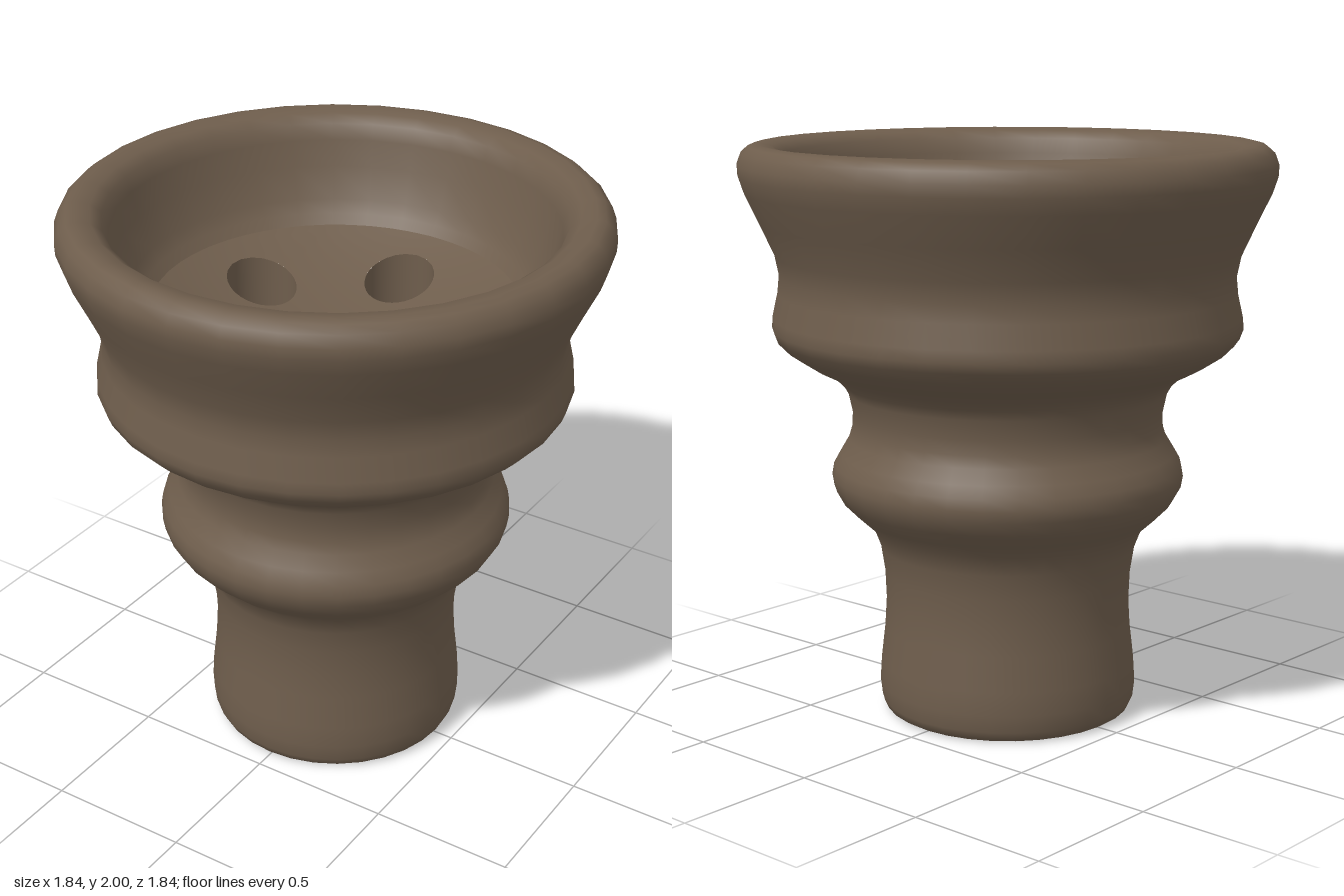
import * as THREE from 'three';
import { mergeVertices } from 'three/addons/utils/BufferGeometryUtils.js';

const HOLES = 5, HOLE_RING = 0.41, HOLE_R = 0.122, CEILING = 1.2;
const STEP = (Math.PI * 2) / HOLES;
const floorY = (x, z) => 1.48 + 0.4 * (x * x + z * z); // dished bowl floor

const lathe = (pts, sides = 32) =>
  new THREE.LatheGeometry(pts.map(([r, y]) => new THREE.Vector2(r, y)), sides);

// Closed outline of one sector around its hole, as [radius, angle] pairs
function sectorOutline(outer) {
  const out = [], half = STEP / 2, n = 10;
  const side = (r0, r1, a0, a1) => {
    for (let i = 0; i < n; i++) {
      const t = i / n;
      out.push([r0 + (r1 - r0) * t, a0 + (a1 - a0) * t]);
    }
  };
  side(outer, outer, -half, half);
  side(outer, HOLE_R, half, half);
  side(HOLE_R, HOLE_R, half, -half);
  side(HOLE_R, outer, -half, -half);
  return out;
}

// Disc with a central hole and a ring of holes; its height follows a rule
function piercedDisc(outer, height, faceUp) {
  const pos = [], index = [], outline = sectorOutline(outer);
  const n = outline.length, rings = 5;
  for (let k = 0; k < HOLES; k++) {
    const base = pos.length / 3, dir = -Math.PI / 2 + k * STEP;
    const cx = HOLE_RING * Math.cos(dir), cz = HOLE_RING * Math.sin(dir);
    for (const [r, a] of outline) {
      const bx = r * Math.cos(dir + a), bz = r * Math.sin(dir + a);
      const d = Math.hypot(bx - cx, bz - cz);
      for (let j = 0; j <= rings; j++) {
        const s = (HOLE_R + (d - HOLE_R) * (j / rings)) / d;
        const x = cx + (bx - cx) * s, z = cz + (bz - cz) * s;
        pos.push(x, height(x, z), z);
      }
    }
    for (let i = 0; i < n; i++) {
      for (let j = 0; j < rings; j++) {
        const a = base + i * (rings + 1) + j;
        const b = base + ((i + 1) % n) * (rings + 1) + j;
        if (faceUp) index.push(a, b + 1, a + 1, a, b, b + 1);
        else index.push(a, a + 1, b + 1, a, b + 1, b);
      }
    }
  }
  const geo = new THREE.BufferGeometry();
  geo.setAttribute('position', new THREE.Float32BufferAttribute(pos, 3));
  geo.setIndex(index);
  const merged = mergeVertices(geo, 1e-4);
  merged.computeVertexNormals();
  return merged;
}

// Inward-facing bore whose top edge follows the dished floor
function bore(cx, cz) {
  const geo = lathe([[HOLE_R, 2], [HOLE_R, CEILING]], 40);
  const p = geo.attributes.position;
  for (let i = 0; i < p.count; i++) {
    const x = p.getX(i) + cx, z = p.getZ(i) + cz;
    p.setXYZ(i, x, p.getY(i) > 1.9 ? floorY(x, z) : CEILING, z);
  }
  return geo;
}

export function createModel() {
  const group = new THREE.Group();
  const clay = new THREE.MeshStandardMaterial({ color: 0x6e5d4c });
  clay.name = 'brown clay';
  const add = (name, geo) => {
    const mesh = new THREE.Mesh(geo, clay);
    mesh.name = name;
    group.add(mesh);
  };

  // Turned outer body, over the rounded rim and down the inner wall
  add('outerBody', lathe([
    [0.415, 0], [0.435, 0.012], [0.448, 0.04], [0.455, 0.1], [0.45, 0.18],
    [0.436, 0.3], [0.43, 0.4], [0.434, 0.5], [0.448, 0.59], [0.475, 0.66],
    [0.53, 0.71], [0.58, 0.76], [0.608, 0.81], [0.615, 0.85], [0.608, 0.89],
    [0.585, 0.93], [0.555, 0.98], [0.543, 1.02], [0.54, 1.07], [0.555, 1.14],
    [0.575, 1.175], [0.61, 1.21], [0.69, 1.25], [0.76, 1.295], [0.8, 1.335],
    [0.813, 1.37], [0.81, 1.41], [0.792, 1.49], [0.786, 1.55], [0.8, 1.62],
    [0.85, 1.73], [0.9, 1.835], [0.918, 1.89], [0.92, 1.93], [0.905, 1.97],
    [0.88, 1.992], [0.85, 2], [0.8, 1.99], [0.765, 1.963], [0.745, 1.91],
    [0.725, 1.82], [0.68, 1.71], [0.65, 1.665], [0.61, 1.62],
  ]));

  // Bowl floor, and the ceiling of the cavity beneath it
  add('bowlFloor', piercedDisc(0.62, floorY, true));
  add('cavityCeiling', piercedDisc(0.555, () => CEILING, false));

  // Central bore and the ring of smoke holes
  add('centreHole', bore(0, 0));
  for (let k = 0; k < HOLES; k++) {
    const a = -Math.PI / 2 + k * STEP;
    add('smokeHole', bore(HOLE_RING * Math.cos(a), HOLE_RING * Math.sin(a)));
  }

  // Hollow stem: flared chamber, straight socket and flat foot
  add('cavityFlare', lathe([[0.55, CEILING], [0.43, 1.05]]));
  add('stemSocket', lathe([[0.43, 1.05], [0.4, 0.9], [0.34, 0.7], [0.315, 0.58], [0.312, 0.3], [0.315, 0]]));
  add('foot', lathe([[0.315, 0], [0.415, 0]]));
  return group;
}
